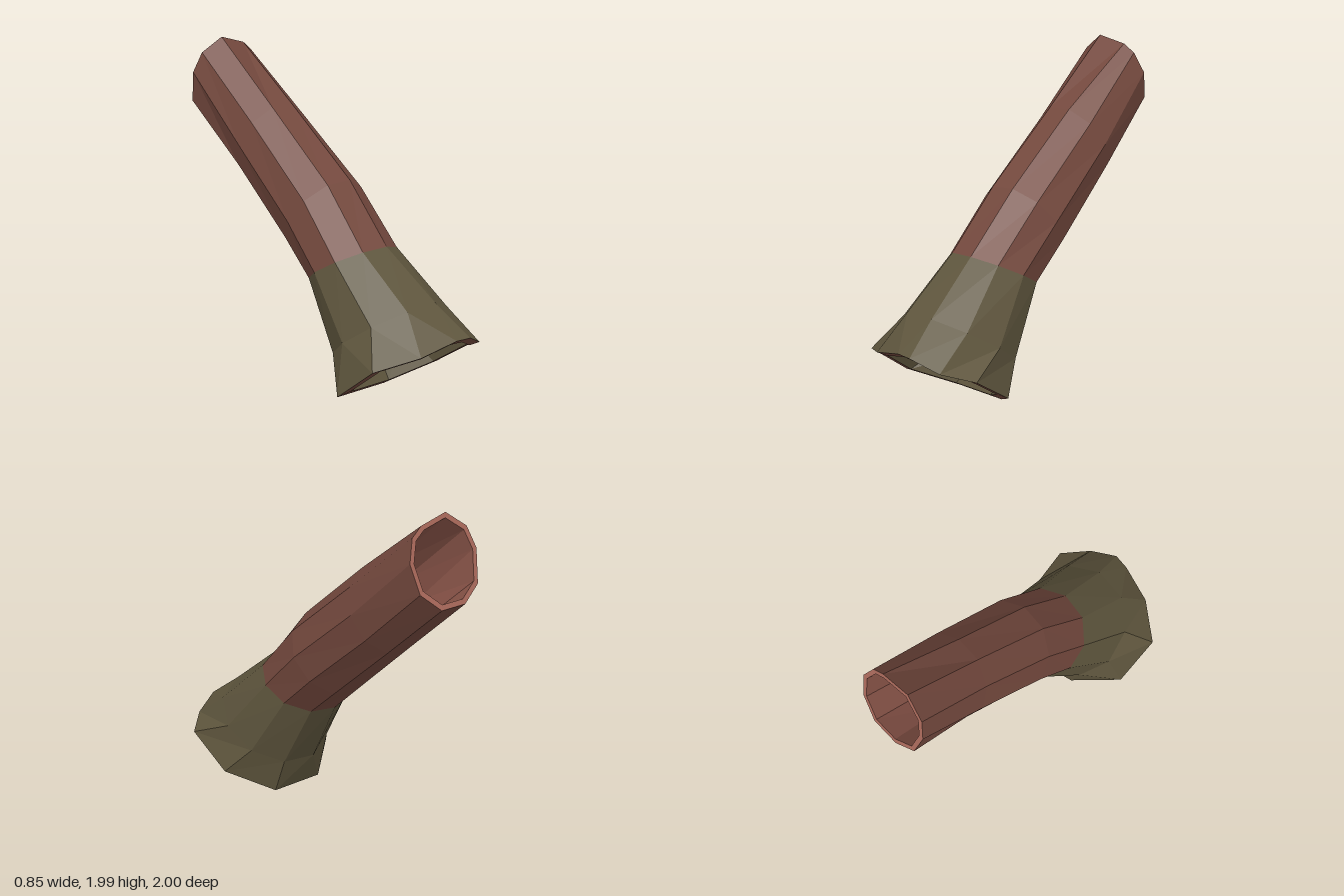
import * as THREE from 'three';

const SIDES = 10;

const material = (name, color) => {
  const m = new THREE.MeshStandardMaterial({ color, flatShading: true });
  m.name = name;
  return m;
};

// Slanted ring: "lift" is the (y, z) offset from the centre to its upper edge
function ring([x, y, z], halfWidth, [liftY, liftZ], twist) {
  return Array.from({ length: SIDES }, (_, i) => {
    const a = (i - 0.5) * Math.PI * 2 / SIDES + twist;
    const c = Math.cos(a) * 1.05;
    return new THREE.Vector3(x + Math.sin(a) * halfWidth * 1.02, y + c * liftY, z + c * liftZ);
  });
}

// Copy of a ring drawn in towards its centre, for the hollow inside
function shrink(points, factor) {
  const centre = points.reduce((s, p) => s.add(p), new THREE.Vector3()).divideScalar(points.length);
  return points.map(p => p.clone().sub(centre).multiplyScalar(factor).add(centre));
}

// Flat-faced band between two rings, optionally only on some sides
function band(name, a, b, mat, sides = [...Array(SIDES).keys()]) {
  const pts = [];
  for (const i of sides) {
    const j = (i + 1) % SIDES;
    pts.push(a[i], a[j], b[j], a[i], b[j], b[i]);
  }
  const geo = new THREE.BufferGeometry().setFromPoints(pts);
  geo.computeVertexNormals();
  const mesh = new THREE.Mesh(geo, mat);
  mesh.name = name;
  return mesh;
}

export function createModel() {
  const bark = material('bark brown', 0x74493e);
  const cutWood = material('cut wood', 0xa8685a);
  const innerWood = material('inner wood', 0x8c564a);
  const olive = material('olive moss', 0x5e553d);
  const green = material('bright moss', 0x62995c);

  const vec = p => new THREE.Vector3(...p);
  // Uneven flared mouth and broken far end
  const mouth = [
    [0.02, 0.43, 0.99], [0.12, 0.43, 1.0], [0.28, 0.36, 0.93], [0.42, 0.31, 0.79], [0.39, 0.13, 0.51],
    [0.15, 0, 0.31], [-0.19, 0, 0.31], [-0.43, 0.1, 0.52], [-0.43, 0.3, 0.79], [-0.21, 0.37, 0.94],
  ].map(vec);
  const farEnd = [
    [-0.1, 1.99, -0.85], [0.08, 1.95, -0.86], [0.15, 1.9, -0.87], [0.2, 1.78, -0.91], [0.17, 1.62, -0.96],
    [0.05, 1.52, -1], [-0.12, 1.52, -1], [-0.24, 1.6, -0.97], [-0.27, 1.78, -0.92], [-0.23, 1.9, -0.88],
  ].map(vec);

  const outer = [
    mouth,
    ring([0, 0.4, 0.5], 0.34, [0.185, 0.28], -0.1),
    ring([-0.01, 0.74, 0.21], 0.27, [0.12, 0.22], -0.15),
    ring([0, 1.0, -0.05], 0.265, [0.2, 0.16], -0.1),
    ring([-0.01, 1.385, -0.5], 0.245, [0.215, 0.12], -0.05),
    farEnd,
  ];
  const inner = outer.map((r, i) => shrink(r, i < 2 ? 0.84 : 0.88));

  const log = new THREE.Group();
  log.name = 'hollowLog';

  // Outside: mossy flare, then bare bark
  for (let i = 0; i < outer.length - 1; i++) {
    log.add(band(i < 2 ? 'mossyBase' : 'barkTrunk', outer[i], outer[i + 1], i < 2 ? olive : bark));
  }

  // Inside: mossy mouth, a green patch on the floor, then wood
  log.add(band('innerMouth', inner[1], inner[0], olive));
  log.add(band('mossPatch', inner[2], inner[1], green, [4, 5]));
  log.add(band('innerNeck', inner[2], inner[1], olive, [6, 7, 8]));
  log.add(band('innerNeckWood', inner[2], inner[1], bark, [9, 0, 1, 2, 3]));
  for (let i = 2; i < inner.length - 1; i++) {
    log.add(band('innerTrunk', inner[i + 1], inner[i], innerWood));
  }

  // Rims closing the wall at both ends
  log.add(band('mouthRim', inner[0], outer[0], bark));
  log.add(band('farRim', farEnd, inner[inner.length - 1], cutWood));
  return log;
}
